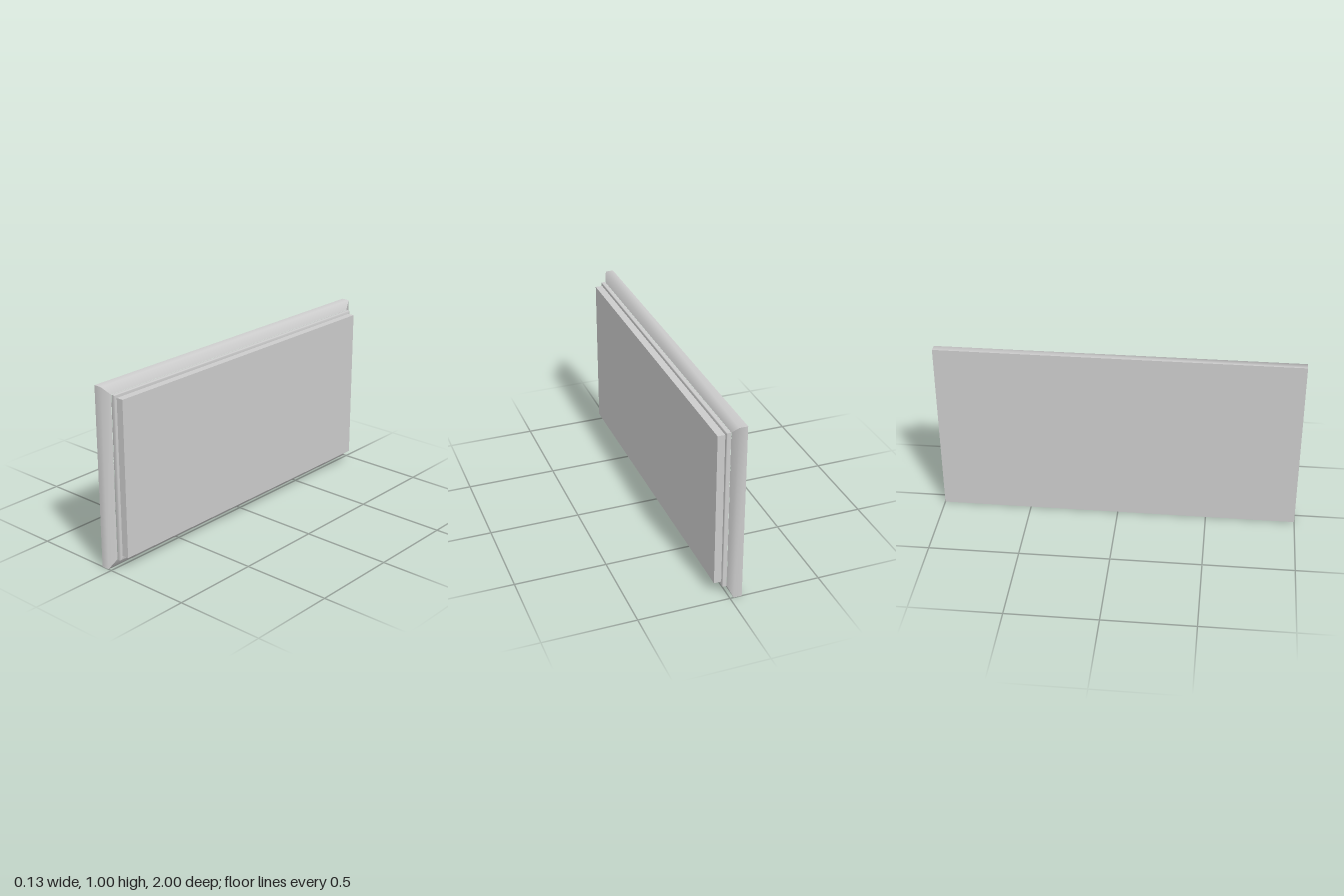
import * as THREE from 'three';

const HALF_W = 1, HALF_H = 0.5;

// One mitred moulding run per side of the rectangle; profile points are [x, inset]
function mouldedFrame(name, profile, material) {
  const group = new THREE.Group();
  group.name = name;
  const corners = [[1, -1], [-1, -1], [-1, 1], [1, 1]];
  corners.forEach((a, i) => {
    const b = corners[(i + 1) % 4];
    const pos = [], index = [];
    profile.forEach(([x, inset], j) => {
      for (const [sz, sy] of [a, b]) {
        pos.push(x, HALF_H + sy * (HALF_H - inset), sz * (HALF_W - inset));
      }
      if (j < profile.length - 1) {
        const k = 2 * j;
        index.push(k, k + 1, k + 2, k + 1, k + 3, k + 2);
      }
    });
    const geo = new THREE.BufferGeometry();
    geo.setAttribute('position', new THREE.Float32BufferAttribute(pos, 3));
    geo.setIndex(index);
    geo.computeVertexNormals();
    const mesh = new THREE.Mesh(geo, material);
    mesh.name = name + 'Side' + (i + 1);
    group.add(mesh);
  });
  return group;
}

export function createModel() {
  const model = new THREE.Group();
  model.name = 'framedPanel';
  const grey = new THREE.MeshStandardMaterial({ color: 0xcccccc });

  // Outer rim with sloping shoulder
  model.add(mouldedFrame('outerRim', [[-0.065, 0], [-0.02, 0], [0, 0.047]], grey));

  // Narrow bead with softened edges, closing against the panel
  model.add(mouldedFrame('innerBead', [
    [0, 0.049], [0.003, 0.0465], [0.0125, 0.046], [0.021, 0.0465], [0.025, 0.049], [0.025, 0.075],
  ], grey));

  // Flat back
  const back = new THREE.Mesh(new THREE.PlaneGeometry(2 * HALF_W, 2 * HALF_H), grey);
  back.name = 'backFace';
  back.rotation.y = -Math.PI / 2;
  back.position.set(-0.065, HALF_H, 0);
  model.add(back);

  // Raised panel
  const panel = new THREE.Mesh(new THREE.BoxGeometry(0.065, 0.868, 1.878), grey);
  panel.name = 'raisedPanel';
  panel.position.set(0.0325, 0.504, 0);
  model.add(panel);

  return model;
}
